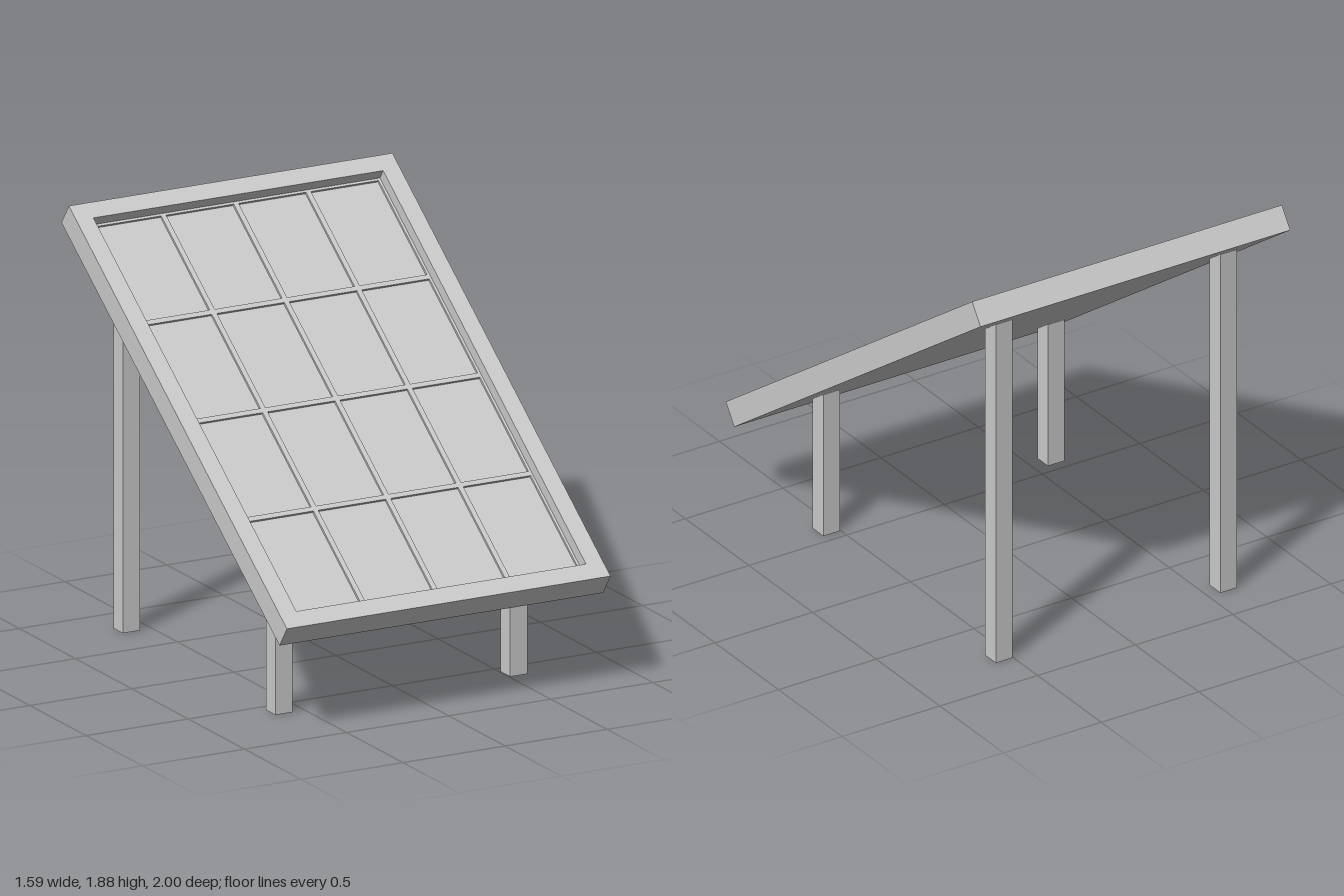
import * as THREE from 'three';

const material = new THREE.MeshStandardMaterial({ color: 0xcccccc, flatShading: true });

const WIDTH = 1.585, LENGTH = 2.374, THICK = 0.114, TILT = 0.6175;
const RIM = 0.083, FLOOR = 0.054, BAR = 0.024, BAR_HEIGHT = 0.01;

function box(name, w, h, d, x, y, z) {
  const mesh = new THREE.Mesh(new THREE.BoxGeometry(w, h, d), material);
  mesh.name = name;
  mesh.position.set(x, y, z);
  return mesh;
}

function rectangle(path, w, l) {
  path.moveTo(-w / 2, -l / 2);
  path.lineTo(w / 2, -l / 2);
  path.lineTo(w / 2, l / 2);
  path.lineTo(-w / 2, l / 2);
  path.closePath();
  return path;
}

function createPanel() {
  const panel = new THREE.Group();
  panel.name = 'panel';
  const innerW = WIDTH - 2 * RIM, innerL = LENGTH - 2 * RIM;

  // Closed back plate, its top is the recessed floor
  panel.add(box('backPlate', WIDTH, FLOOR, LENGTH, 0, (FLOOR - THICK) / 2, 0));

  // Raised rim around the recess
  const shape = rectangle(new THREE.Shape(), WIDTH, LENGTH);
  shape.holes.push(rectangle(new THREE.Path(), innerW, innerL));
  const rimGeometry = new THREE.ExtrudeGeometry(shape, { depth: THICK - FLOOR, bevelEnabled: false });
  rimGeometry.rotateX(-Math.PI / 2);
  const rim = new THREE.Mesh(rimGeometry, material);
  rim.name = 'rim';
  rim.position.y = FLOOR - THICK / 2;
  panel.add(rim);

  // Thin bars dividing the floor into 4 x 4 cells; outer bars sit half under the rim
  const barY = FLOOR - THICK / 2 + BAR_HEIGHT / 2;
  for (let i = 0; i <= 4; i++) {
    const t = i / 4 - 0.5;
    panel.add(box('lengthwiseBar', BAR, BAR_HEIGHT, innerL, t * innerW, barY, 0));
    panel.add(box('crossBar', innerW, BAR_HEIGHT, BAR, 0, barY, t * innerL));
  }

  panel.position.y = 1.15;
  panel.rotation.x = TILT;
  return panel;
}

export function createModel() {
  const model = new THREE.Group();
  model.name = 'solarPanel';
  model.add(createPanel());

  // Four square legs, their tops sunk into the back plate
  for (const [side, x] of [['Right', -0.602], ['Left', 0.547]]) {
    for (const [end, z, height] of [['front', 0.588, 0.69], ['back', -0.767, 1.653]]) {
      model.add(box(`${end}${side}Leg`, 0.084, height, 0.084, x, height / 2, z));
    }
  }
  return model;
}
